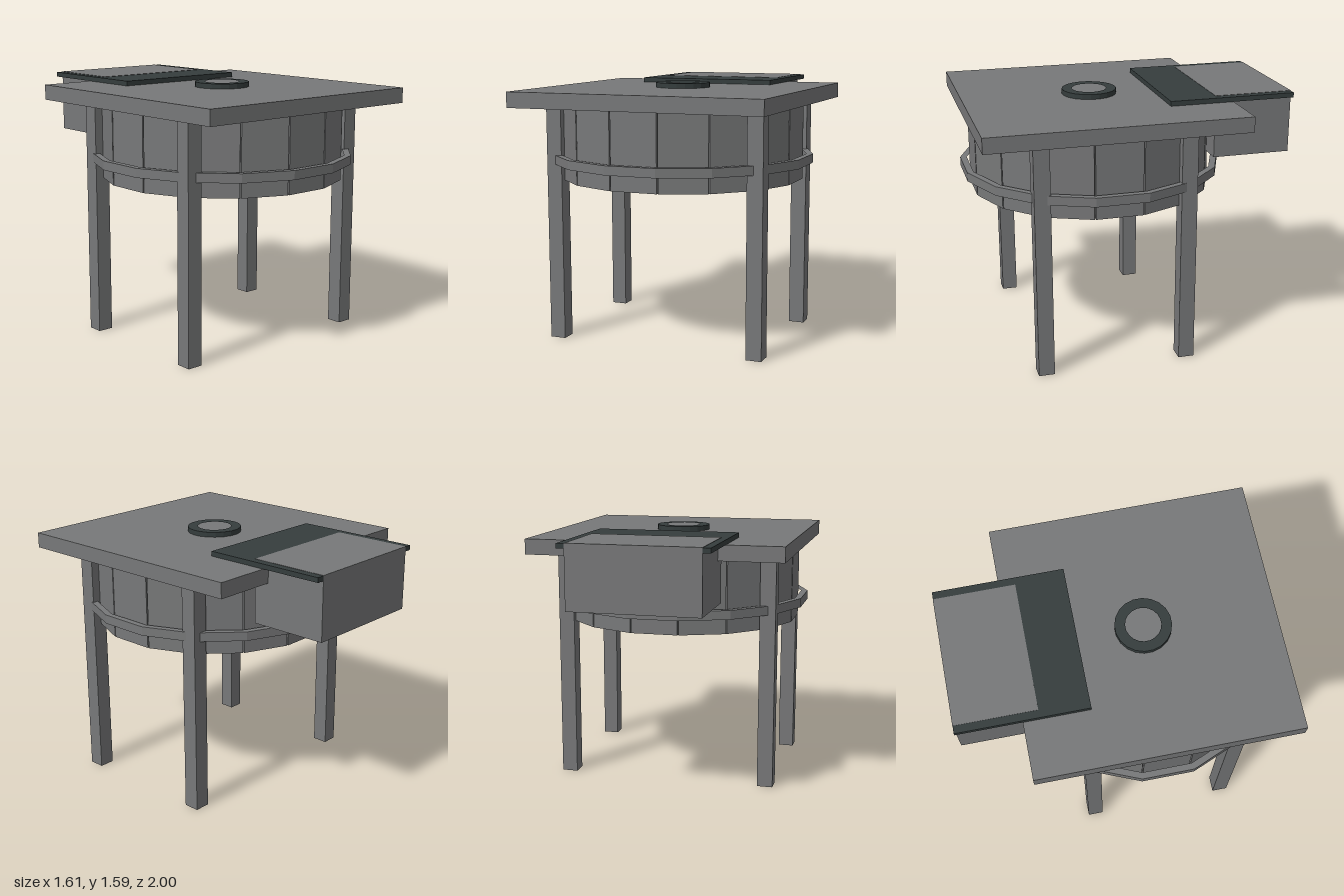
import * as THREE from 'three';

const SIDES = 16;
const CZ = 0.19; // z of the drum and table axis

export function createModel() {
  const model = new THREE.Group();
  model.name = 'barrelTable';
  const grey = new THREE.MeshStandardMaterial({ color: 0x777879 });
  grey.name = 'weathered grey';
  const dark = new THREE.MeshStandardMaterial({ color: 0x353d3d });
  dark.name = 'dark slate';

  const add = (name, geometry, material, parent = model) => {
    const mesh = new THREE.Mesh(geometry, material);
    mesh.name = name;
    parent.add(mesh);
    return mesh;
  };

  // Box given by its lower and upper corners
  const box = (name, a, b, material, parent) => {
    const mesh = add(name, new THREE.BoxGeometry(b[0] - a[0], b[1] - a[1], b[2] - a[2]), material, parent);
    mesh.position.set((a[0] + b[0]) / 2, (a[1] + b[1]) / 2, (a[2] + b[2]) / 2);
    return mesh;
  };

  // Flat-sided ring with one face towards the front
  const ring = (name, outer, inner, y, height, sides, material) => {
    const points = (r) => Array.from({ length: sides }, (_, i) => {
      const t = (i + 0.5) * 2 * Math.PI / sides;
      return new THREE.Vector2(r * Math.sin(t), r * Math.cos(t));
    });
    const shape = new THREE.Shape(points(outer));
    shape.holes.push(new THREE.Path(points(inner)));
    const geometry = new THREE.ExtrudeGeometry(shape, { depth: height, bevelEnabled: false });
    geometry.rotateX(-Math.PI / 2);
    add(name, geometry, material).position.set(0, y, CZ);
  };

  // Table top
  box('tableTop', [-0.795, 1.465, -0.605], [0.795, 1.56, 0.985], grey);

  // Four legs
  for (const x of [-0.648, 0.648]) {
    for (const z of [-0.25, 0.64]) {
      box('leg', [x - 0.049, 0, z - 0.049], [x + 0.049, 1.47, z + 0.049], grey);
    }
  }

  // Open drum of separate staves, with narrow gaps outside
  const drum = new THREE.Group();
  drum.name = 'drum';
  drum.position.z = CZ + 0.003;
  model.add(drum);
  for (let i = 0; i < SIDES; i++) {
    const pivot = new THREE.Group();
    pivot.name = 'stave';
    pivot.rotation.y = i * 2 * Math.PI / SIDES;
    drum.add(pivot);
    box('staveBoard', [-0.144, 1, 0.672], [0.144, 1.47, 0.745], grey, pivot);
  }

  // Hoop around the drum
  const corner = 1 / Math.cos(Math.PI / SIDES);
  ring('hoop', 0.805 * corner, 0.765 * corner, 1.1, 0.056, SIDES, grey);

  // Ring on the table top
  ring('topRing', 0.17, 0.107, 1.558, 0.033, 20, dark);

  // Box at the back with its dark plate
  box('backBox', [-0.4, 1.2, -1], [0.4, 1.592, -0.505], grey);
  box('backPlate', [-0.447, 1.56, -0.999], [0.447, 1.59, -0.205], dark);

  return model;
}
